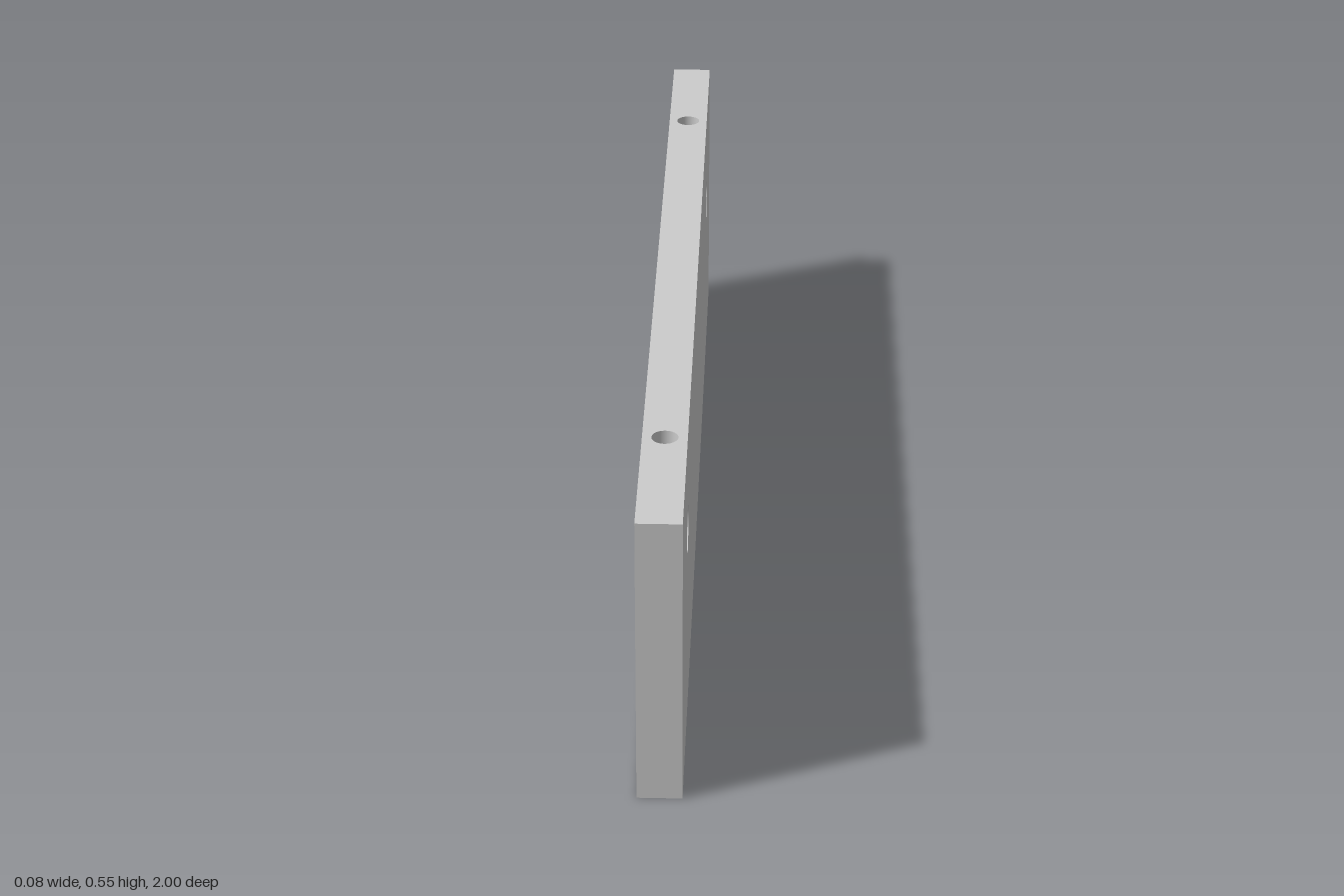
import * as THREE from 'three';
import { mergeGeometries } from 'three/addons/utils/BufferGeometryUtils.js';
import { ParametricGeometry } from 'three/addons/geometries/ParametricGeometry.js';

const T = 0.04, H = 0.552, L = 1;             // half thickness, height, half length
const HOLE_Z = [-0.705, 0.705];
const PY = 0.367, PR = 0.043, FLOOR = -0.025; // side pocket: height, radius, floor x
const BR = 0.0235;                            // top bolt bore radius
const PILOT_R = 0.0145, PILOT_D = 0.07;       // bottom pilot hole

// Flat rectangle facing +z with round holes given as [x, y, radius]
function face(w, h, holes = []) {
  const s = new THREE.Shape();
  s.moveTo(-w / 2, -h / 2).lineTo(w / 2, -h / 2).lineTo(w / 2, h / 2).lineTo(-w / 2, h / 2);
  for (const [x, y, r] of holes) {
    s.holes.push(new THREE.Path().absarc(x, y, r, 0, Math.PI * 2, true));
  }
  return new THREE.ShapeGeometry(s, 24);
}

// Half width of the bore where it breaks into the pocket wall
const gap = (a) => Math.sqrt(Math.max(0, BR * BR - (PR * Math.sin(a)) ** 2));

// Patch of pocket wall between two angles and two x limits
function wall(a0, a1, xFrom, xTo, slices) {
  return new ParametricGeometry((u, v, p) => {
    const a = a0 + (a1 - a0) * u;
    p.set(THREE.MathUtils.lerp(xFrom(a), xTo(a), v), PY + PR * Math.cos(a), PR * Math.sin(a));
  }, slices, 1);
}

export function createModel() {
  const group = new THREE.Group();
  const solid = new THREE.MeshStandardMaterial({ color: 0xcccccc });
  const lining = new THREE.MeshStandardMaterial({ color: 0xcccccc, side: THREE.DoubleSide });
  const add = (parent, name, geometry, material) => {
    const mesh = new THREE.Mesh(geometry, material);
    mesh.name = name;
    parent.add(mesh);
    return mesh;
  };

  // Board faces, pierced where the holes start
  const side = HOLE_Z.map((z) => [z, PY - H / 2, PR]);
  const top = HOLE_Z.map((z) => [0, z, BR]);
  const bottom = HOLE_Z.map((z) => [0, z, PILOT_R]);
  add(group, 'panel', mergeGeometries([
    face(2 * L, H, side).rotateY(Math.PI / 2).translate(T, H / 2, 0),
    face(2 * L, H).rotateY(-Math.PI / 2).translate(-T, H / 2, 0),
    face(2 * T, H).translate(0, H / 2, L),
    face(2 * T, H).rotateY(Math.PI).translate(0, H / 2, -L),
    face(2 * T, 2 * L, top).rotateX(-Math.PI / 2).translate(0, H, 0),
    face(2 * T, 2 * L, bottom).rotateX(Math.PI / 2),
  ]), solid);

  const a0 = Math.asin(BR / PR);
  for (const z of HOLE_Z) {
    const fitting = new THREE.Group();
    fitting.name = 'fittingHoles';
    fitting.position.z = z;
    group.add(fitting);

    // Blind side pocket, open at the top where the bore enters
    add(fitting, 'pocketWall', mergeGeometries([
      wall(a0, Math.PI * 2 - a0, () => FLOOR, () => T, 40),
      wall(-a0, a0, () => FLOOR, (a) => -gap(a), 24),
      wall(-a0, a0, gap, () => T, 24),
    ]), lining);
    add(fitting, 'pocketFloor',
      new THREE.CircleGeometry(PR, 48).rotateY(Math.PI / 2).translate(FLOOR, PY, 0), lining);

    // Bolt bore from the top edge down into the pocket
    add(fitting, 'boltBore', new ParametricGeometry((u, v, p) => {
      const t = u * Math.PI * 2, dz = BR * Math.sin(t);
      const low = PY + Math.sqrt(PR * PR - dz * dz);
      p.set(BR * Math.cos(t), THREE.MathUtils.lerp(low, H, v), dz);
    }, 48, 1), lining);

    // Blind pilot hole in the bottom edge
    add(fitting, 'pilotHole', new THREE.CylinderGeometry(PILOT_R, PILOT_R, PILOT_D, 48, 1, true)
      .translate(0, PILOT_D / 2, 0), lining);
    add(fitting, 'pilotHoleEnd', new THREE.CircleGeometry(PILOT_R, 48)
      .rotateX(Math.PI / 2).translate(0, PILOT_D, 0), lining);
  }
  return group;
}
